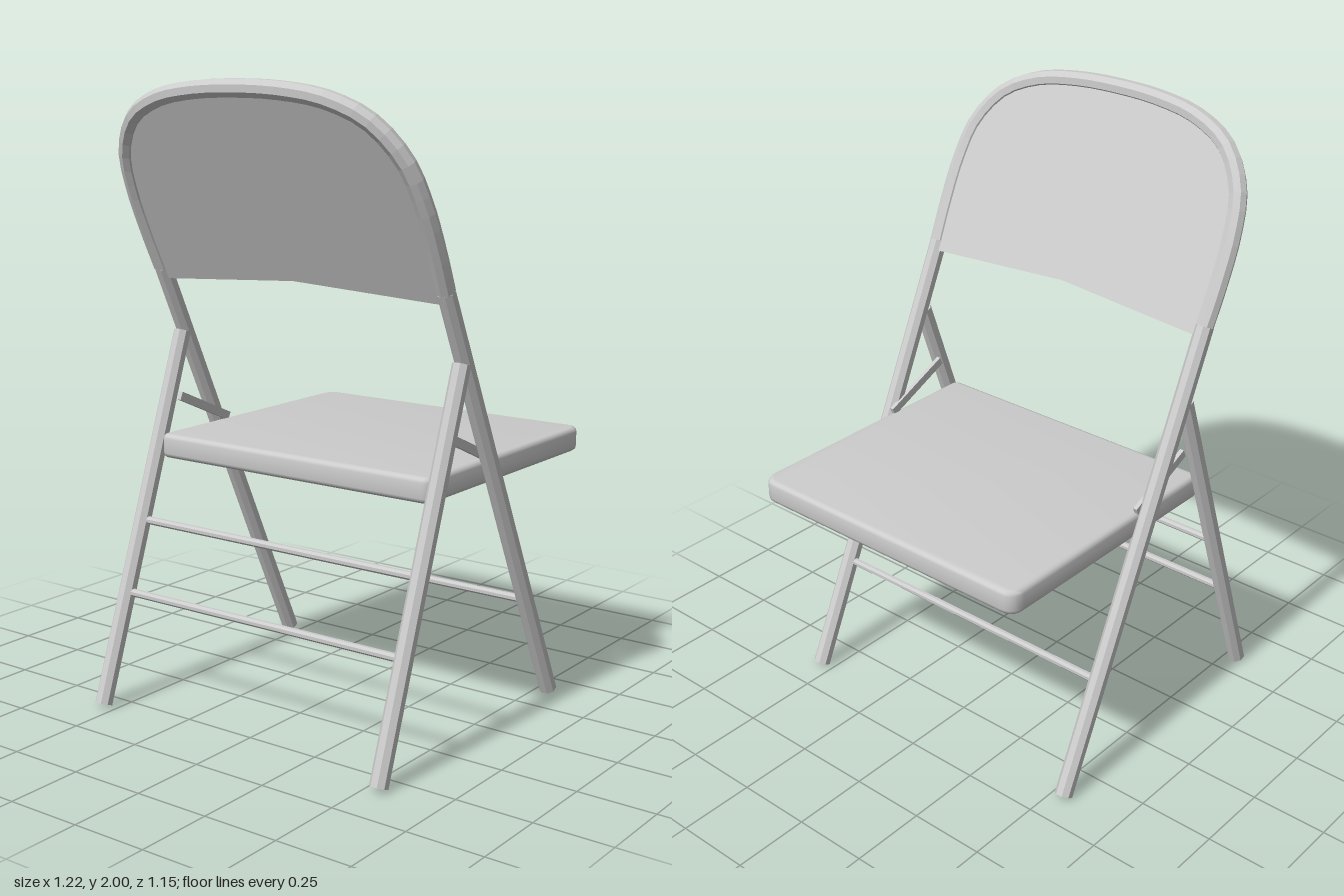
import * as THREE from 'three';
import { toCreasedNormals } from 'three/addons/utils/BufferGeometryUtils.js';

const V = (x, y, z) => new THREE.Vector3(x, y, z);
const flat = new THREE.MeshStandardMaterial({ color: 0xcccccc, flatShading: true });
const smooth = new THREE.MeshStandardMaterial({ color: 0xcccccc });
const TUBE = 0.029, HALF = 0.543, FOOT = 0.013;

// x of the slanted front frame and of the rear legs at height y
const frontX = (y) => 0.388 - 0.466 * (y - FOOT);
const rearX = (y) => -0.583 + 0.353 * (y - FOOT);

export function createModel() {
  const chair = new THREE.Group();
  chair.name = 'foldingChair';

  const add = (name, geometry, material = flat) => {
    const mesh = new THREE.Mesh(geometry, material);
    mesh.name = name;
    chair.add(mesh);
    return mesh;
  };
  // straight round bar between two points
  const rod = (name, a, b, r, sides = 8) => {
    const geo = new THREE.CylinderGeometry(r, r, a.distanceTo(b), sides);
    geo.rotateY(Math.PI / sides);
    const mesh = add(name, geo);
    mesh.position.copy(a).add(b).multiplyScalar(0.5);
    mesh.quaternion.setFromUnitVectors(V(0, 1, 0), b.clone().sub(a).normalize());
    return mesh;
  };

  // legs and folding braces, mirrored
  for (const [side, s] of [['left', 1], ['right', -1]]) {
    const z = s * HALF;
    rod(side + 'FrontLeg', V(frontX(FOOT), FOOT, z), V(frontX(1.4), 1.4, z), TUBE);
    rod(side + 'RearLeg', V(rearX(FOOT), FOOT, z), V(rearX(1.18), 1.18, z), TUBE);

    const a = V(-0.22, 0.972, s * 0.515), b = V(0.02, 0.865, s * 0.515);
    const brace = add(side + 'Brace', new THREE.BoxGeometry(a.distanceTo(b), 0.028, 0.014));
    brace.position.copy(a).add(b).multiplyScalar(0.5);
    brace.rotation.z = Math.atan2(b.y - a.y, b.x - a.x);
  }

  // thin crossbars
  const bar = (name, x, y) => rod(name, V(x, y, -HALF), V(x, y, HALF), 0.013);
  bar('frontCrossbar', frontX(0.36), 0.36);
  bar('rearLowerCrossbar', rearX(0.36), 0.36);
  bar('rearUpperCrossbar', rearX(0.585), 0.585);

  // arched top of the frame, as half outline [z, y]
  const half = [[HALF, 1.4], [0.547, 1.52], [0.543, 1.66], [0.517, 1.78],
    [0.435, 1.885], [0.31, 1.942], [0.16, 1.966]];
  const outline = [...half, [0, 1.972], ...half.map(([z, y]) => [-z, y]).reverse()];
  const arch = new THREE.CatmullRomCurve3(outline.map(([z, y]) => V(frontX(y), y, z)), false, 'centripetal');
  add('backArch', new THREE.TubeGeometry(arch, 40, TUBE, 8));

  // back panel, cut flat and laid into the slanted plane of the frame
  const slope = Math.hypot(1, 0.466);
  const along = (y) => (y - FOOT) * slope;
  const panel = new THREE.Shape();
  panel.moveTo(0, along(1.4));
  panel.lineTo(HALF, along(1.368));
  for (const p of arch.getPoints(40)) panel.lineTo(p.z, along(p.y));
  panel.lineTo(-HALF, along(1.368));
  panel.closePath();
  const panelGeo = new THREE.ExtrudeGeometry(panel, { depth: 0.03, bevelEnabled: false });
  panelGeo.translate(0, 0, -0.015);
  const up = V(-0.466, 1, 0).normalize();
  const across = V(0, 0, -1);
  panelGeo.applyMatrix4(new THREE.Matrix4()
    .makeBasis(across, up, across.clone().cross(up))
    .setPosition(frontX(FOOT), FOOT, 0));
  add('backPanel', panelGeo);

  // seat: rounded front corners and a soft edge all round
  const e = 0.016, x0 = -0.31 + e, x1 = 0.61 - e, w = 0.523 - e, r = 0.035, q = 0.012;
  const seat = new THREE.Shape();
  seat.moveTo(x0 + q, -w);
  seat.lineTo(x1 - r, -w);
  seat.quadraticCurveTo(x1, -w, x1, -w + r);
  seat.lineTo(x1, w - r);
  seat.quadraticCurveTo(x1, w, x1 - r, w);
  seat.lineTo(x0 + q, w);
  seat.quadraticCurveTo(x0, w, x0, w - q);
  seat.lineTo(x0, -w + q);
  seat.quadraticCurveTo(x0, -w, x0 + q, -w);
  const seatGeo = new THREE.ExtrudeGeometry(seat, {
    depth: 0.08 - 2 * e, bevelThickness: e, bevelSize: e, bevelSegments: 3, curveSegments: 5,
  });
  seatGeo.rotateX(-Math.PI / 2);
  seatGeo.translate(0, 0.78 + e, 0);
  add('seat', toCreasedNormals(seatGeo, 0.7), smooth);

  return chair;
}
